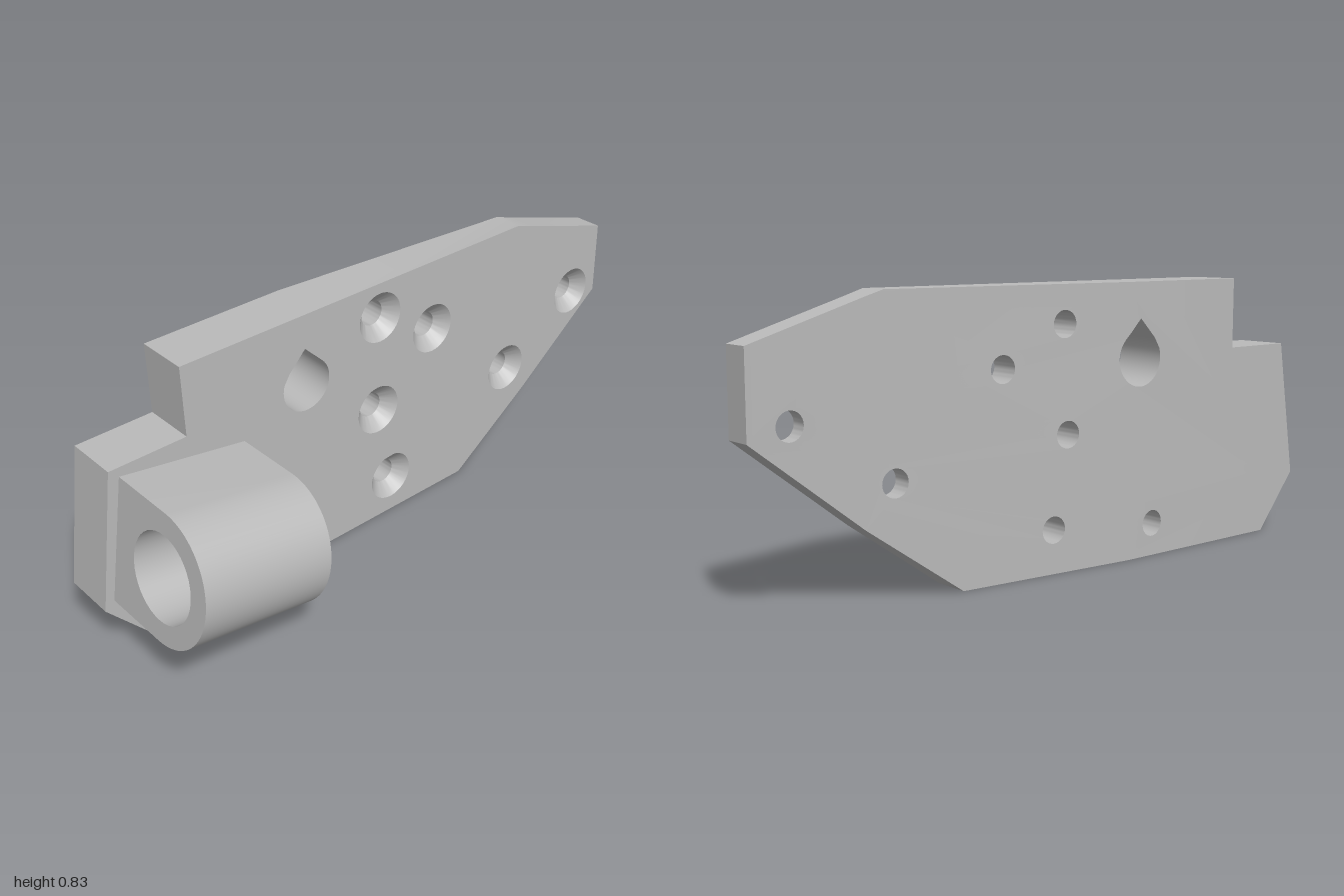
import * as THREE from 'three';
import { toCreasedNormals } from 'three/addons/utils/BufferGeometryUtils.js';

const FRONT = -0.122, BACK = -0.288, THIN = -0.21;
const TAPER = [-0.23, 0.66];

// back surface of the plate: thick, then tapering, then thin
const backZ = (x) => {
  const t = THREE.MathUtils.clamp((x - TAPER[0]) / (TAPER[1] - TAPER[0]), 0, 1);
  return BACK + (THIN - BACK) * t;
};
const at = (p, z) => [p.x, p.y, typeof z === 'function' ? z(p.x) : z];
const toPoints = (list) => list.map(([x, y]) => new THREE.Vector2(x, y));

// points of an arc, a0 to a1 in degrees
function arc(cx, cy, r, a0, a1, n) {
  return Array.from({ length: n + 1 }, (_, i) => {
    const a = THREE.MathUtils.degToRad(a0 + (a1 - a0) * i / n);
    return new THREE.Vector2(cx + r * Math.cos(a), cy + r * Math.sin(a));
  });
}
// clockwise circle, used for holes
const hole = (cx, cy, r) => arc(cx, cy, r, 360, 0, 40).slice(0, -1);

// keep the part of a polygon on one side of x = c
function clip(poly, c, side) {
  const out = [];
  poly.forEach((p, i) => {
    const q = poly[(i + 1) % poly.length];
    const dp = (p.x - c) * side, dq = (q.x - c) * side;
    if (dp >= 0) out.push(p);
    if (dp * dq < 0) out.push(p.clone().lerp(q, dp / (dp - dq)));
  });
  return out;
}

// band between two matching loops, lower z first
function wall(out, lower, z0, upper, z1) {
  lower.forEach((a, i) => {
    const j = (i + 1) % lower.length;
    const A = at(a, z0), B = at(lower[j], z0), C = at(upper[j], z1), D = at(upper[i], z1);
    out.push(...A, ...B, ...C, ...A, ...C, ...D);
  });
}

// stepped bore: rings of [radius, z] from low z to high z
function bore(out, cx, cy, rings) {
  for (let i = 0; i + 1 < rings.length; i++) {
    const [r0, z0] = rings[i], [r1, z1] = rings[i + 1];
    wall(out, hole(cx, cy, r0), z0, hole(cx, cy, r1), z1);
  }
}

// flat or folded face with holes, folded along the given x lines
function cap(out, outline, holes, z, flip, folds = []) {
  const pts = [outline, ...holes].flat();
  for (const f of THREE.ShapeUtils.triangulateShape(outline, holes)) {
    let polys = [f.map((i) => pts[i])];
    for (const c of folds) polys = polys.flatMap((p) => [clip(p, c, 1), clip(p, c, -1)]);
    for (const p of polys) {
      for (let i = 1; i + 1 < p.length; i++) {
        const tri = flip ? [p[0], p[i + 1], p[i]] : [p[0], p[i], p[i + 1]];
        tri.forEach((v) => out.push(...at(v, z)));
      }
    }
  }
}

function finish(out, name, material) {
  const g = new THREE.BufferGeometry();
  g.setAttribute('position', new THREE.Float32BufferAttribute(out, 3));
  const mesh = new THREE.Mesh(toCreasedNormals(g, 0.5), material);
  mesh.name = name;
  return mesh;
}

function mountingPlate(material) {
  const out = [];
  const outline = toPoints([
    [-1, 0.18], [-0.85, 0], [-0.23, 0], [0.36, 0], [0.66, 0.21], [1, 0.472], [1, 0.71],
    [0.66, 0.814], [0.6, 0.833], [-0.23, 0.833], [-0.685, 0.833], [-0.685, 0.615], [-0.93, 0.615],
  ]);
  const screws = [
    [0.015, 0.72], [0.228, 0.604], [0.002, 0.403], [0.88, 0.505],
    [0.571, 0.325], [0.051, 0.13], [-0.329, 0.1],
  ];
  // teardrop opening with its point upward
  const teardrop = [...arc(-0.27, 0.606, 0.084, 45, -225, 32), new THREE.Vector2(-0.27, 0.725)];

  wall(out, outline, backZ, outline, FRONT);
  wall(out, teardrop, backZ, teardrop, FRONT);
  for (const [x, y] of screws) {
    bore(out, x, y, [[0.04, backZ], [0.04, FRONT - 0.04], [0.08, FRONT]]);
  }
  cap(out, outline, [teardrop, ...screws.map(([x, y]) => hole(x, y, 0.08))], FRONT, false);
  cap(out, outline, [teardrop, ...screws.map(([x, y]) => hole(x, y, 0.04))], backZ, true, TAPER);
  return finish(out, 'mountingPlate', material);
}

function barrelSocket(material) {
  const out = [], half = 0.204, r = 0.195, c = -0.093;
  // D-shaped section, flat side against the plate
  const section = [
    ...arc(c, 0, r, 90, 270, 40), new THREE.Vector2(-FRONT, -r), new THREE.Vector2(-FRONT, r),
  ];
  wall(out, section, -half, section, half);
  // wide bore, inner lip and shallow counterbore
  bore(out, c, 0, [
    [0.13, -half], [0.13, half - 0.09], [0.089, half - 0.09],
    [0.089, half - 0.03], [0.14, half - 0.03], [0.14, half],
  ]);
  cap(out, section, [hole(c, 0, 0.14)], half, false);
  cap(out, section, [hole(c, 0, 0.13)], -half, true);
  const mesh = finish(out, 'barrelSocket', material);
  mesh.geometry.rotateY(Math.PI / 2).rotateZ(THREE.MathUtils.degToRad(-10));
  mesh.position.set(-0.734, 0.359, 0);
  return mesh;
}

export function createModel() {
  const grey = new THREE.MeshStandardMaterial({ color: 0xbababa });
  grey.name = 'plainGrey';
  const model = new THREE.Group();
  model.name = 'bracket';
  model.add(mountingPlate(grey), barrelSocket(grey));
  return model;
}
